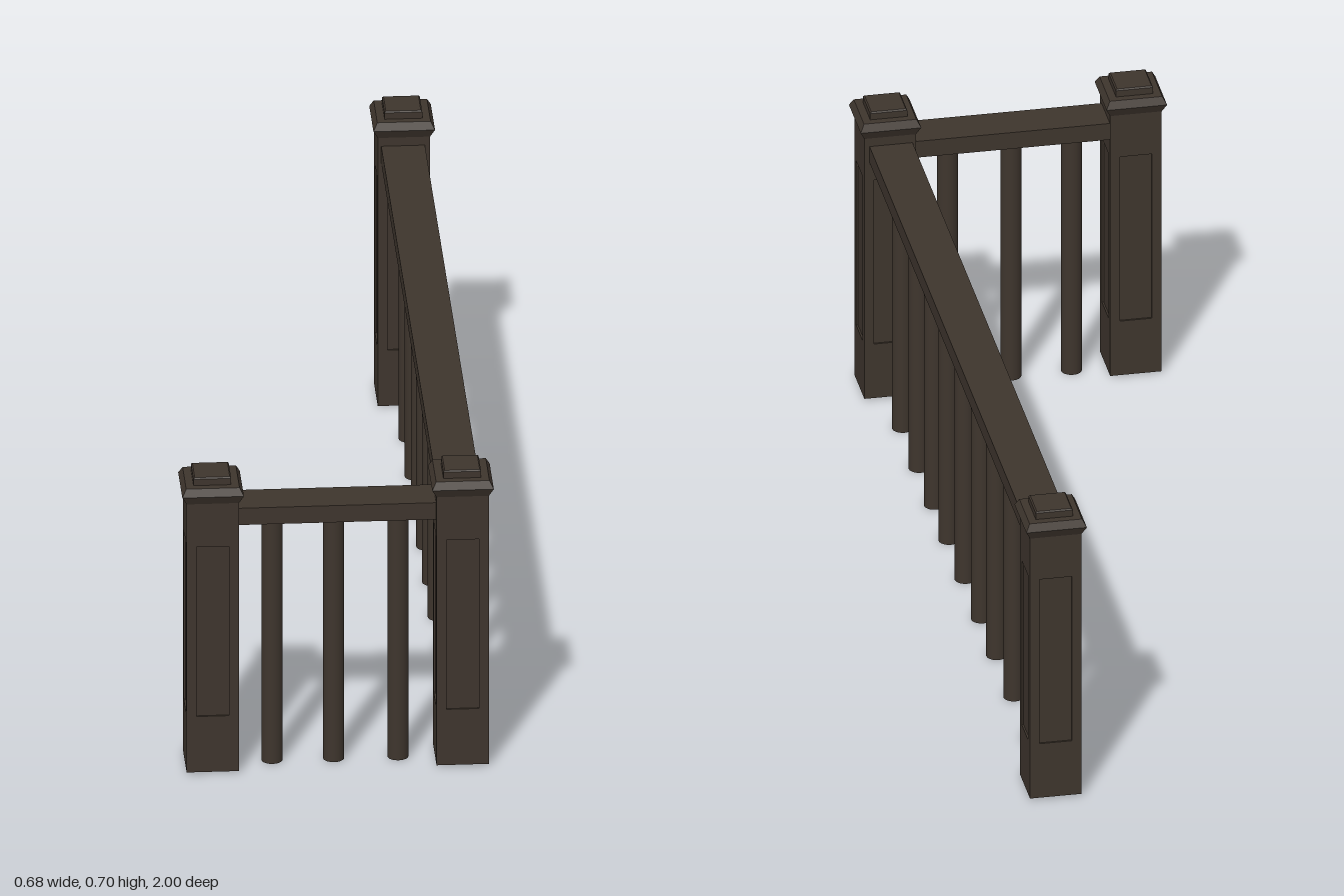
import * as THREE from 'three';
import { toCreasedNormals } from 'three/addons/utils/BufferGeometryUtils.js';

const wood = new THREE.MeshStandardMaterial({ color: 0x3e352d });
wood.name = 'dark brown wood';

const POST_HALF = 0.057, POST_BASE = 0.004, POST_TOP = 0.646, RECESS = 0.004;
const PANEL_HALF = 0.0355, PANEL_LOW = 0.137, PANEL_HIGH = 0.542;

function add(parent, name, geometry, x = 0, y = 0, z = 0) {
  const mesh = new THREE.Mesh(geometry, wood);
  mesh.name = name;
  mesh.position.set(x, y, z);
  parent.add(mesh);
  return mesh;
}

// Face board with a rectangular opening that leaves a sunken panel
function faceBoard(half) {
  const rect = (Type, w, low, high) => new Type([
    new THREE.Vector2(-w, low), new THREE.Vector2(w, low),
    new THREE.Vector2(w, high), new THREE.Vector2(-w, high),
  ]);
  const shape = rect(THREE.Shape, half, POST_BASE, POST_TOP);
  shape.holes.push(rect(THREE.Path, PANEL_HALF, PANEL_LOW, PANEL_HIGH));
  return new THREE.ExtrudeGeometry(shape, { depth: RECESS, bevelEnabled: false });
}

// Square turned profile: [half width, height] pairs
function squareProfile(pairs) {
  const points = pairs.map(([half, y]) => new THREE.Vector2(half * Math.SQRT2, y));
  return toCreasedNormals(new THREE.LatheGeometry(points, 4).rotateY(Math.PI / 4), 0.2);
}

function createPost(name, x, z) {
  const post = new THREE.Group();
  post.name = name;
  post.position.set(x, 0, z);
  const core = POST_HALF - RECESS, height = POST_TOP - POST_BASE;
  add(post, 'postCore', new THREE.BoxGeometry(core * 2, height, core * 2), 0, POST_BASE + height / 2, 0);
  for (let i = 0; i < 4; i++) {
    const angle = i * Math.PI / 2;
    const board = add(post, 'panelFrame', faceBoard(i % 2 ? core : POST_HALF),
      Math.sin(angle) * core, 0, Math.cos(angle) * core);
    board.rotation.y = angle;
  }
  // Flared cap with a small raised block
  add(post, 'postCap', squareProfile([
    [0, 0.645], [POST_HALF, 0.645], [0.067, 0.665], [0.058, 0.682],
    [0.041, 0.682], [0.041, 0.697], [0.038, 0.7], [0, 0.7],
  ]));
  return post;
}

export function createModel() {
  const model = new THREE.Group();
  model.name = 'railing';
  const X = 0.272, Z = 0.933;

  model.add(createPost('frontRightPost', -X, Z));
  model.add(createPost('cornerPost', X, Z));
  model.add(createPost('backPost', X, -Z));

  // Handrails
  add(model, 'frontRail', new THREE.BoxGeometry(2 * (X - 0.05), 0.04, 0.095), 0, 0.605, 0.927);
  add(model, 'sideRail', new THREE.BoxGeometry(0.095, 0.04, 2 * (Z - 0.05)), 0.27, 0.605, 0);

  // Round balusters
  const baluster = new THREE.CylinderGeometry(0.023, 0.023, 0.59, 20);
  for (const x of [-0.139, -0.005, 0.135]) add(model, 'frontBaluster', baluster, x, 0.295, 0.927);
  for (const z of [0.737, 0.55, 0.378, 0.214, 0.032, -0.153, -0.324, -0.517, -0.713]) {
    add(model, 'sideBaluster', baluster, 0.272, 0.295, z);
  }
  return model;
}
